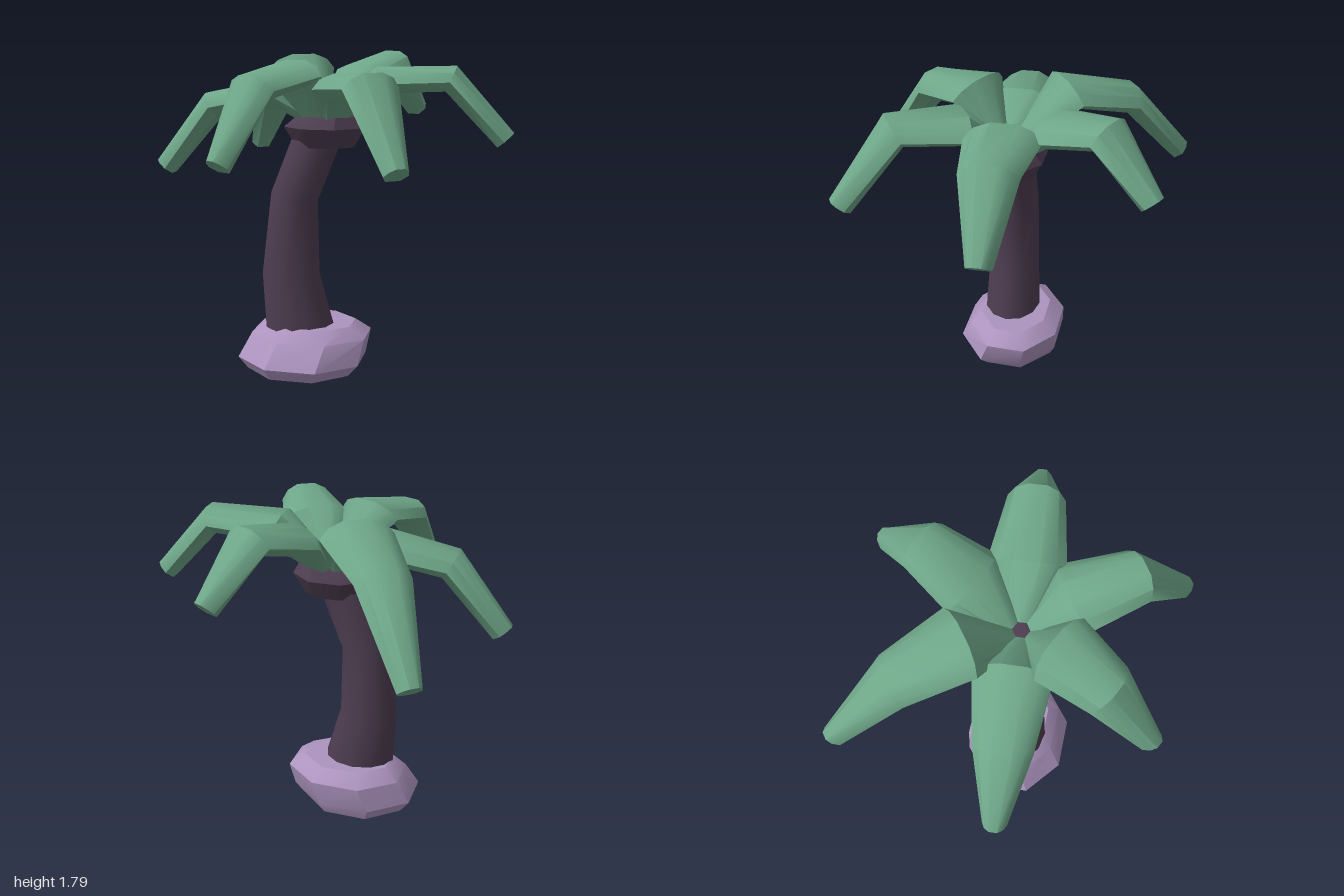
import * as THREE from 'three';
import { toCreasedNormals } from 'three/addons/utils/BufferGeometryUtils.js';

const mat = (name, color) => {
  const m = new THREE.MeshStandardMaterial({ color });
  m.name = name;
  return m;
};

// Skin a list of rings (each counter-clockwise about the path) and cap both ends
function loft(rings, crease) {
  const n = rings[0].length, pos = [];
  const tri = (...pts) => pts.forEach((p) => pos.push(p.x, p.y, p.z));
  for (let i = 0; i < rings.length - 1; i++) {
    const a = rings[i], b = rings[i + 1];
    for (let j = 0; j < n; j++) {
      const k = (j + 1) % n;
      tri(a[j], a[k], b[k]);
      tri(a[j], b[k], b[j]);
    }
  }
  const first = rings[0], last = rings[rings.length - 1];
  for (let j = 1; j < n - 1; j++) {
    tri(first[0], first[j + 1], first[j]);
    tri(last[0], last[j], last[j + 1]);
  }
  const g = new THREE.BufferGeometry();
  g.setAttribute('position', new THREE.Float32BufferAttribute(pos, 3));
  return toCreasedNormals(g, crease);
}

// Ring fitted to an x and z range; tilt lowers the +x side of the ring
function ring([y, x0, x1, z0, z1, tilt = 0], sides, turn) {
  const pts = [], grow = turn ? 1 / Math.cos(Math.PI / sides) : 1;
  for (let j = 0; j < sides; j++) {
    const a = ((j + turn) / sides) * Math.PI * 2;
    const c = Math.cos(a) * grow, s = Math.sin(a) * grow;
    pts.push(new THREE.Vector3(
      (x0 + x1) / 2 + (c * (x1 - x0)) / 2, y - tilt * c, (z0 + z1) / 2 - (s * (z1 - z0)) / 2));
  }
  return pts;
}
const stack = (rows, sides, turn, crease) => loft(rows.map((r) => ring(r, sides, turn)), crease);

// Leaf cross-section: arched top, flatter underside (half-width, thickness)
const SECTION = [[1, -0.6], [0.75, -0.22], [0.34, 0], [-0.34, 0], [-0.75, -0.22], [-1, -0.6], [-0.6, -1], [0.6, -1]];

// Leaf folded along its ridge: root, fold, elbow, tip
function leaf(fold, elbow, tip) {
  const root = new THREE.Vector3(-0.02, 1.5, 0.04);
  const ridge = [root, ...[fold, elbow, tip].map((p) => new THREE.Vector3(...p))];
  const dir = ridge[3].clone().sub(root).setY(0).normalize();
  root.addScaledVector(dir, 0.04);
  const side = new THREE.Vector3(0, 1, 0).cross(dir);
  const half = [0.07, 0.2, 0.15, 0.065], thick = [0.11, 0.14, 0.14, 0.115];
  const step = (i) => ridge[i + 1].clone().sub(ridge[i]).normalize();
  const rings = ridge.map((p, i) => {
    const t = i === 0 ? step(0) : i === 3 ? step(2) : step(i - 1).add(step(i)).normalize();
    const up = t.cross(side).normalize();
    return SECTION.map(([w, h]) => p.clone().addScaledVector(side, w * half[i]).addScaledVector(up, h * thick[i]));
  });
  return loft(rings, 0.75);
}

export function createModel() {
  const group = new THREE.Group();
  const bark = mat('bark', 0x4d3d50);
  const stone = mat('stone', 0xad94bf);
  const green = mat('leafGreen', 0x6ea688);
  const add = (name, geometry, material) => {
    const m = new THREE.Mesh(geometry, material);
    m.name = name;
    group.add(m);
  };

  // Faceted boulder at the foot: y, x range, z range
  add('baseRock', stack([
    [0, -0.46, 0.13, -0.2, 0.31],
    [0.07, -0.51, 0.19, -0.23, 0.35],
    [0.21, -0.44, 0.215, -0.24, 0.28],
    [0.275, -0.36, 0.13, -0.16, 0.22],
  ], 8, 0.5, 0.6), stone);

  // Bent trunk
  add('trunk', stack([
    [0.15, -0.37, 0.06, -0.11, 0.235],
    [0.56, -0.39, -0.055, -0.085, 0.215],
    [1.0, -0.34, -0.07, -0.08, 0.165, 0.02],
    [1.34, -0.2, 0.06, -0.08, 0.16, 0.03],
  ], 12, 0, 0.75), bark);

  // Collar under the leaves
  add('trunkCollar', stack([
    [1.29, -0.18, 0.13, -0.09, 0.16],
    [1.4, -0.24, 0.19, -0.15, 0.23],
    [1.46, -0.17, 0.16, -0.11, 0.19],
    [1.5, -0.06, 0.04, -0.01, 0.09],
  ], 8, 0.5, 0.6), bark);

  // Six drooping leaves
  [
    ['rightSideLeaf', [-0.27, 1.66, 0.05], [-0.69, 1.575, 0.08], [-0.99, 1.19, 0.095]],
    ['leftSideLeaf', [0.25, 1.72, 0.01], [0.68, 1.73, -0.02], [0.99, 1.38, -0.045]],
    ['backRightLeaf', [-0.21, 1.78, -0.2], [-0.47, 1.66, -0.55], [-0.69, 1.23, -0.85]],
    ['backLeftLeaf', [0.1, 1.72, -0.2], [0.25, 1.79, -0.53], [0.39, 1.48, -0.8]],
    ['frontLeftLeaf', [0.13, 1.7, 0.24], [0.34, 1.725, 0.59], [0.52, 1.31, 0.86]],
    ['frontRightLeaf', [-0.14, 1.765, 0.22], [-0.31, 1.7, 0.56], [-0.41, 1.31, 0.83]],
  ].forEach(([name, ...pts]) => add(name, leaf(...pts), green));

  return group;
}
